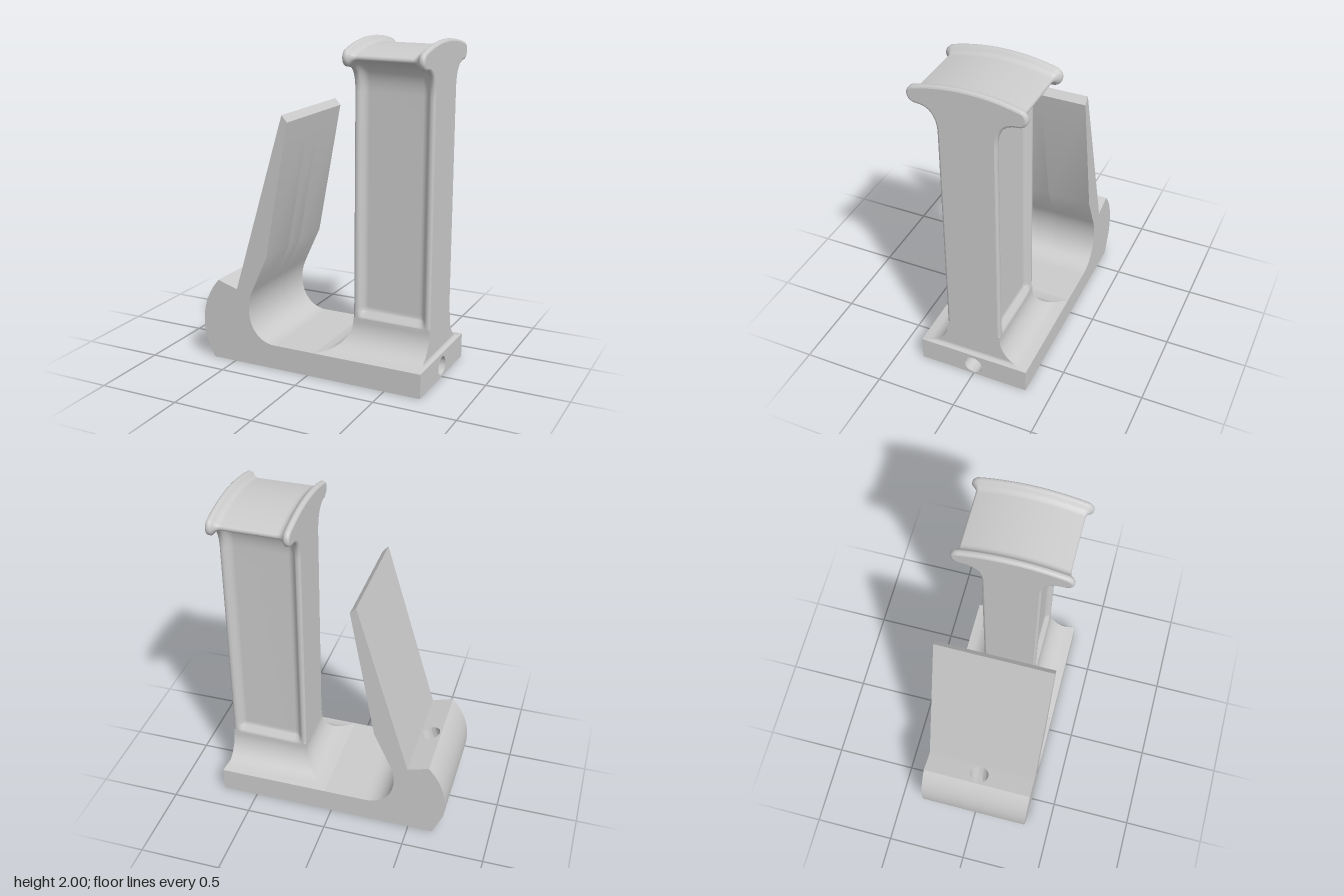
import * as THREE from 'three';
import { toCreasedNormals } from 'three/addons/utils/BufferGeometryUtils.js';

const HALF = 0.345;   // half depth of the whole base
const FLOOR = 0.15;   // top of the foot
const mat = new THREE.MeshStandardMaterial({ color: 0xcccccc });

function add(parent, name, geometry) {
  const m = new THREE.Mesh(geometry, mat);
  m.name = name;
  parent.add(m);
  return m;
}

function extrude(shape, depth) {
  const g = new THREE.ExtrudeGeometry(shape, { depth, bevelEnabled: false, curveSegments: 24 });
  return toCreasedNormals(g, 0.5);
}

const polygon = pts => new THREE.Shape(pts.map(p => new THREE.Vector2(...p)));

// Extrude a (z, y) shape along x
const extrudeX = (shape, x0, x1) => extrude(shape, x1 - x0).rotateY(Math.PI / 2).translate(x0, 0, 0);

// Foot: slab with a lengthwise bore, opening into a slot at the slanted end
function buildFoot() {
  const foot = new THREE.Group();
  foot.name = 'foot';
  const slab = polygon([[-HALF, 0], [HALF, 0], [HALF, FLOOR], [-HALF, FLOOR]]);
  slab.holes.push(new THREE.Path().absarc(0, 0.07, 0.058, 0, Math.PI * 2, true));
  add(foot, 'footSlab', extrudeX(slab, -0.6, 0.725));

  const slot = new THREE.Shape();
  slot.moveTo(-HALF, 0).lineTo(HALF, 0).lineTo(HALF, FLOOR).lineTo(0.058, FLOOR).lineTo(0.058, 0.07);
  slot.absarc(0, 0.07, 0.058, 0, Math.PI, true);
  slot.lineTo(-0.058, FLOOR).lineTo(-HALF, FLOOR);
  const end = extrudeX(slot, -0.653, -0.6);
  const p = end.attributes.position;
  for (let i = 0; i < p.count; i++) if (p.getX(i) < -0.64) p.setX(i, p.getX(i) - 0.42 * p.getY(i));
  add(foot, 'footEnd', toCreasedNormals(end, 0.5));
  return foot;
}

// Lever outline shared by the jaw pieces, from the heel's shoulder round to the floor
function leverPath(shape) {
  return shape.lineTo(-0.48, 0.47).lineTo(-0.155, 1.565).lineTo(-0.12, 1.525)
    .lineTo(-0.27, 0.70).lineTo(-0.37, 0.48)
    .bezierCurveTo(-0.44, 0.33, -0.38, FLOOR, -0.22, FLOOR);
}

// Jaw: rounded heel and leaning lever, with a slanted bore through the heel
function buildJaw() {
  const jaw = new THREE.Group();
  jaw.name = 'jaw';
  const W = 0.07, R = 0.062, D = 0.33;
  const heel = s => s.moveTo(-0.715, FLOOR).quadraticCurveTo(-0.745, 0.36, -0.61, 0.51);

  const side = leverPath(heel(new THREE.Shape()));
  for (const z of [-HALF, W]) add(jaw, 'jawSide', extrude(side, HALF - W).translate(0, 0, z));

  const s = new THREE.Vector3(0.13, -0.04, 0).normalize();
  const t = new THREE.Vector3(0, 0, -1);
  const n = new THREE.Vector3().crossVectors(s, t);
  const c = new THREE.Vector3(-0.545, 0.49, 0);
  const at = (a, b) => c.clone().addScaledVector(s, a).addScaledVector(n, b);

  // middle slab, left open where the bore passes
  const top = at(R, 0);
  const middle = new THREE.Shape().moveTo(top.x, top.y);
  leverPath(middle).lineTo(-0.6, FLOOR);
  add(jaw, 'jawMiddle', extrude(middle, 2 * W).translate(0, 0, -W));
  const low = at(-R, -D), high = at(-R, 0);
  const skin = heel(new THREE.Shape()).lineTo(high.x, high.y).lineTo(low.x, low.y);
  add(jaw, 'heelSkin', extrude(skin, 2 * W).translate(0, 0, -W));

  // block holding the bore
  const block = polygon([[-R, -W], [R, -W], [R, W], [-R, W]]);
  block.holes.push(new THREE.Path().absarc(0, 0, 0.058, 0, Math.PI * 2, true));
  const o = at(0, -D);
  const bore = extrude(block, D);
  bore.applyMatrix4(new THREE.Matrix4().makeBasis(s, t, n).setPosition(o));
  add(jaw, 'heelBore', bore);
  return jaw;
}

// Flared root of the post: a box whose lower rows spread in a quarter round
function buildRoot() {
  const r = 0.175, h = 0.2;
  const g = new THREE.BoxGeometry(0.485, h, 0.34, 1, 24, 1);
  g.translate(0.4625, FLOOR + h / 2, 0);
  const p = g.attributes.position;
  for (let i = 0; i < p.count; i++) {
    const u = Math.max(0, r - (p.getY(i) - FLOOR));
    const f = r - Math.sqrt(Math.max(0, r * r - u * u));
    const v = Math.max(0, 0.02 - (p.getY(i) - FLOOR));
    p.setX(i, p.getX(i) < 0.4 ? p.getX(i) - f : p.getX(i) + v);
    p.setZ(i, p.getZ(i) + Math.sign(p.getZ(i)) * f);
  }
  g.computeVertexNormals();
  return g;
}

// Half outline of post and cap as (z, y), mirrored into a full open outline
function postOutline() {
  const path = new THREE.Path().moveTo(0.17, 0.335);
  for (const y of [0.35, 0.36, 0.37, 0.38, 0.39, 0.4, 0.42, 1.0, 1.6, 1.7]) path.lineTo(0.17, y);
  path.bezierCurveTo(0.17, 1.80, 0.21, 1.855, 0.285, 1.855);
  path.bezierCurveTo(0.36, 1.86, 0.355, 1.95, 0.295, 1.96);
  path.quadraticCurveTo(0.15, 2.0, 0, 2.0);
  const half = path.getPoints(14);
  const other = half.slice(0, -1).reverse().map(p => new THREE.Vector2(-p.x, p.y));
  return half.concat(other);
}

// Post: outline swept along x, sunk between the two raised rims
function buildPost() {
  const post = new THREE.Group();
  post.name = 'post';
  const line = postOutline(), n = line.length;
  const ring = d => line.map((p, i) => {
    const a = line[Math.max(0, i - 1)], b = line[Math.min(n - 1, i + 1)];
    const t = b.clone().sub(a).normalize();
    const k = d > 0.016 || d < 0 ? THREE.MathUtils.clamp((p.y - 0.35) / 0.05, 0, 1) : 1;
    return new THREE.Vector2(p.x - t.y * Math.abs(d) * k, p.y + t.x * Math.abs(d) * k);
  });

  // [x, depth]; negative depths fade out at the foot of the recess
  const edge = [[0.22, 0.014], [0.223, 0.006], [0.229, 0.001], [0.236, 0], [0.247, 0],
    [0.254, -0.006], [0.262, -0.016], [0.272, -0.026], [0.285, -0.033], [0.3, -0.035]];
  const stations = edge.concat(edge.slice().reverse().map(([x, d]) => [0.925 - x, d]));

  const pos = [], idx = [];
  stations.forEach(([x, d], j) => {
    for (const p of ring(d)) pos.push(x, p.y, p.x);
    if (j === 0) return;
    for (let i = 0; i < n - 1; i++) {
      const a = (j - 1) * n + i, b = j * n + i;
      idx.push(a, b, a + 1, b, b + 1, a + 1);
    }
  });
  const g = new THREE.BufferGeometry();
  g.setAttribute('position', new THREE.Float32BufferAttribute(pos, 3));
  g.setIndex(idx);
  g.computeVertexNormals();
  add(post, 'postAndCap', g);

  // flat ends
  const face = new THREE.Shape(ring(0.014));
  for (const [x, turn] of [[0.22, -1], [0.705, 1]]) {
    add(post, 'postEnd', new THREE.ShapeGeometry(face).rotateY(turn * Math.PI / 2).translate(x, 0, 0));
  }
  add(post, 'postRoot', buildRoot());
  return post;
}

export function createModel() {
  const model = new THREE.Group();
  model.name = 'clampStand';
  model.add(buildFoot(), buildJaw(), buildPost());
  return model;
}
